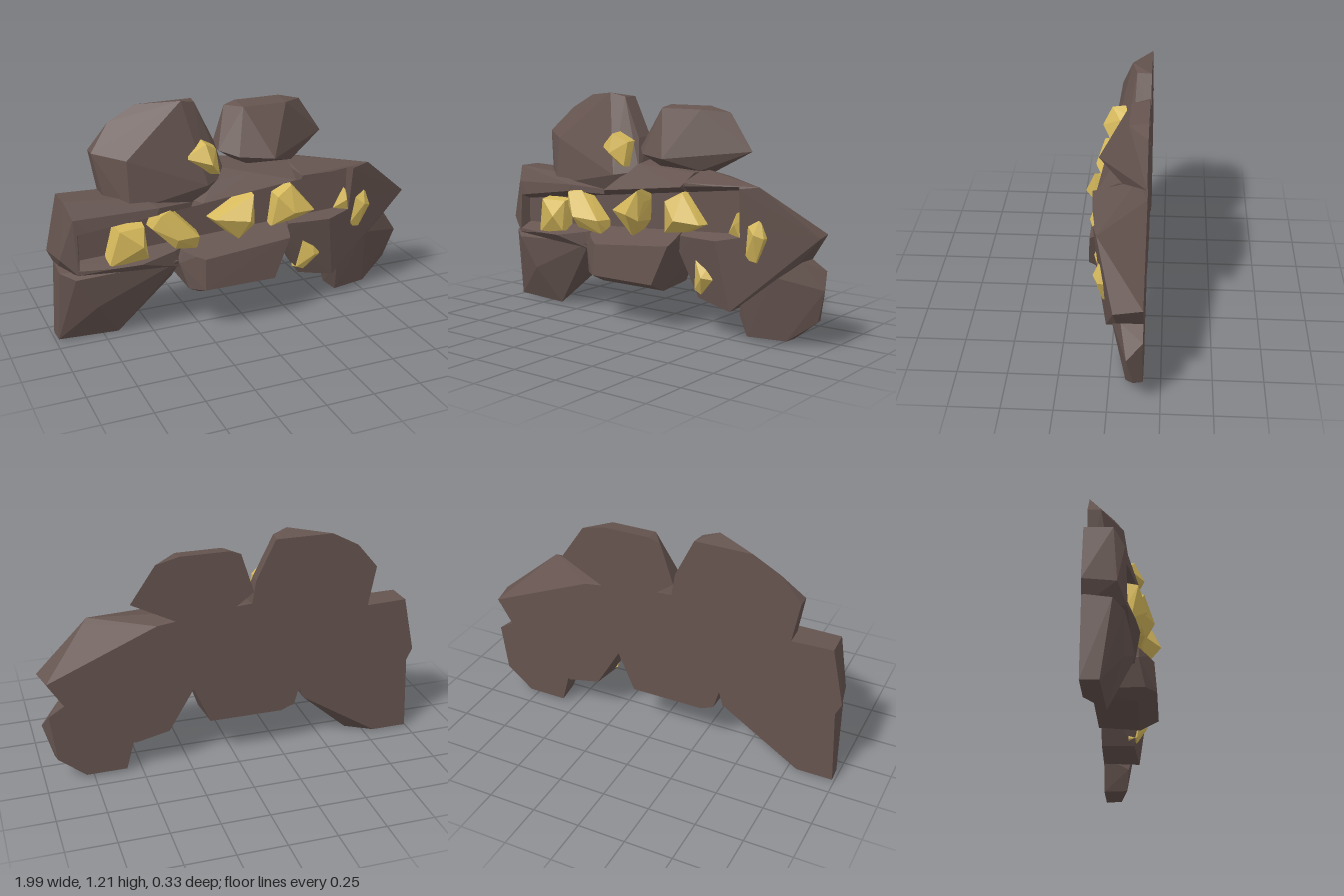
import * as THREE from 'three';
import { ConvexGeometry } from 'three/addons/geometries/ConvexGeometry.js';

const BACK = -0.165;

// Groove planes [nx, ny, nz, d]; a point is in the groove where n.p < d for all
const GROOVE = [
  [0.04, 0, -1, -0.01],       // floor
  [-0.1, 1, -0.45, 0.69],     // upper wall
  [0.088, -1, -0.6, -0.518],  // lower wall
  [-1, 0, -0.3, 0.875],       // left end
  [1, 0, -0.3, 0.585],        // right end
];

const side = (p, g) => g[0] * p.x + g[1] * p.y + g[2] * p.z - g[3];

// Cut a convex body by a plane and keep one side (1 outside, -1 inside)
function clip(points, plane, keep) {
  const kept = points.filter(p => keep * side(p, plane) >= -1e-7);
  const lost = points.filter(p => keep * side(p, plane) < -1e-7);
  const cut = [];
  for (const a of kept) for (const b of lost) {
    const da = side(a, plane), db = side(b, plane);
    if (Math.abs(da) > 1e-6) cut.push(a.clone().lerp(b, da / (da - db)));
  }
  return kept.concat(cut);
}

// Keep only the hull corners so later cuts stay small
function corners(points) {
  const pos = new ConvexGeometry(points).attributes.position;
  const found = new Map();
  for (let i = 0; i < pos.count; i++) {
    const p = new THREE.Vector3().fromBufferAttribute(pos, i);
    found.set(p.toArray().map(v => v.toFixed(4)).join(), p);
  }
  return [...found.values()];
}

function isSolid(points) {
  if (points.length < 4) return false;
  const size = new THREE.Box3().setFromPoints(points).getSize(new THREE.Vector3());
  return Math.min(size.x, size.y, size.z) > 0.004;
}

// A rock minus the groove, as touching convex pieces
function carve(points) {
  const pieces = [];
  let rest = corners(points);
  for (const plane of GROOVE) {
    const outer = clip(rest, plane, 1);
    if (isSolid(outer)) pieces.push(outer);
    rest = clip(rest, plane, -1);
    if (!isSolid(rest)) break;
    rest = corners(rest);
  }
  return pieces;
}

// Rock points: a flat outline on the back plane and raised points in front of it
function rockPoints(outline, raised) {
  return [
    ...outline.map(([x, y]) => new THREE.Vector3(x, y, BACK)),
    ...raised.map(p => new THREE.Vector3(...p)),
  ];
}

// Crystal points: base outline, a slightly smaller shoulder and a tip
function crystalPoints(tip, base, outline) {
  const peak = new THREE.Vector3(...tip);
  const points = [peak];
  outline.forEach(([x, y], i) => {
    const foot = new THREE.Vector3(x, y, base);
    const shoulder = foot.clone().lerp(peak, 0.12);
    shoulder.z = base + (peak.z - base) * (i % 2 ? 0.7 : 0.45);
    points.push(foot, shoulder);
  });
  return points;
}

export function createModel() {
  const model = new THREE.Group();
  const stone = new THREE.MeshStandardMaterial({ color: 0x65544f });
  stone.name = 'brownStone';
  const gold = new THREE.MeshStandardMaterial({ color: 0xd6b95c });
  gold.name = 'goldOre';

  const addRock = (name, pieces) => {
    const group = new THREE.Group();
    group.name = name;
    for (const piece of pieces) {
      const mesh = new THREE.Mesh(new ConvexGeometry(piece), stone);
      mesh.name = name + 'Piece';
      group.add(mesh);
    }
    model.add(group);
  };

  // Upper boulders
  addRock('upperLeftBoulder', [rockPoints(
    [[-0.76, 0.98], [-0.65, 1.11], [-0.51, 1.185], [-0.21, 1.185], [-0.11, 0.98], [-0.08, 0.8], [-0.15, 0.66], [-0.71, 0.7]],
    [[-0.3, 1.205, -0.065], [-0.22, 1.185, -0.09], [-0.76, 0.98, -0.1], [-0.71, 0.72, -0.06], [-0.61, 0.95, 0],
      [-0.61, 0.7, 0.03], [-0.2, 0.78, 0.04], [-0.12, 0.97, -0.08], [-0.08, 0.8, -0.03], [-0.2, 0.68, 0]])]);
  addRock('upperRightBoulder', [rockPoints(
    [[-0.03, 1.13], [0.03, 1.15], [0.28, 1.15], [0.4, 1.12], [0.53, 0.93], [0.3, 0.81], [0.05, 0.81], [-0.1, 0.92]],
    [[0.04, 1.135, -0.07], [0.28, 1.135, -0.07], [-0.1, 0.92, -0.07], [-0.02, 0.9, 0.02],
      [0.15, 0.89, 0.085], [0.3, 0.83, -0.04], [0.05, 0.84, -0.04]])]);

  // Rocks crossed by the groove
  addRock('leftRock', carve(rockPoints(
    [[-1, 0.48], [-0.935, 0.775], [-0.5, 0.76], [-0.25, 0.7], [-0.2, 0.55], [-0.35, 0.35], [-0.95, 0.37]],
    [[-0.97, 0.48, -0.01], [-0.93, 0.775, -0.03], [-0.9, 0.69, 0.02], [-0.89, 0.4, 0.03], [-0.55, 0.755, 0],
      [-0.47, 0.71, 0.07], [-0.25, 0.69, 0], [-0.6, 0.43, 0.08], [-0.36, 0.36, 0.04]])));
  addRock('lowerLeftRock', carve(rockPoints(
    [[-0.97, 0.42], [-0.99, 0.01], [-0.8, 0.01], [-0.62, 0.14], [-0.38, 0.28], [-0.34, 0.43]],
    [[-0.97, 0.4, -0.03], [-0.985, 0.01, -0.08], [-0.67, 0, -0.07], [-0.61, 0.18, -0.05], [-0.38, 0.28, -0.04],
      [-0.79, 0.2, 0.01], [-0.9, 0.37, 0.02], [-0.36, 0.4, 0.05]])));
  addRock('middleRock', carve(rockPoints(
    [[-0.37, 0.39], [-0.33, 0.25], [-0.26, 0.22], [0.13, 0.22], [0.23, 0.45], [0.29, 0.83], [-0.1, 0.86], [-0.35, 0.7]],
    [[-0.37, 0.39, 0.06], [-0.33, 0.25, 0.09], [-0.26, 0.205, 0.05], [0.14, 0.205, 0.05], [-0.26, 0.25, 0.145],
      [0.13, 0.25, 0.145], [0.23, 0.48, 0.13], [-0.25, 0.45, 0.13], [0.27, 0.76, 0.09], [-0.24, 0.7, 0.07],
      [0.28, 0.82, -0.02], [-0.1, 0.84, -0.04]])));
  addRock('rightRock', carve(rockPoints(
    [[0.25, 0.82], [0.4, 0.8], [0.96, 0.56], [0.88, 0.43], [0.53, 0.16], [0.35, 0.2], [0.22, 0.42]],
    [[0.28, 0.835, -0.11], [0.3, 0.785, 0.105], [0.6, 0.775, 0.085], [0.71, 0.79, 0.06], [0.99, 0.56, -0.03],
      [0.88, 0.43, -0.04], [0.53, 0.15, 0.03], [0.33, 0.19, 0.01], [0.23, 0.42, 0.04], [0.46, 0.6, 0.1]])));

  // Lower right rock
  addRock('lowerRightRock', [rockPoints(
    [[0.88, 0.43], [0.96, 0.38], [0.93, 0.13], [0.79, 0.015], [0.58, 0.015], [0.53, 0.2], [0.6, 0.4]],
    [[0.88, 0.43, -0.06], [0.99, 0.3, -0.09], [0.94, 0.13, -0.12], [0.79, 0.02, -0.08],
      [0.59, 0.02, -0.04], [0.55, 0.13, -0.03], [0.58, 0.24, 0], [0.75, 0.35, -0.01]])]);

  // Ore crystals: tip, base depth, outline
  const addOre = (...shape) => {
    const mesh = new THREE.Mesh(new ConvexGeometry(crystalPoints(...shape)), gold);
    mesh.name = 'oreCrystal';
    model.add(mesh);
  };
  addOre([-0.57, 0.53, 0.11], -0.02, [[-0.755, 0.4], [-0.695, 0.625], [-0.54, 0.62], [-0.53, 0.44]]);
  addOre([-0.4, 0.55, 0.14], -0.02, [[-0.52, 0.6], [-0.48, 0.69], [-0.41, 0.7], [-0.25, 0.53], [-0.25, 0.44], [-0.4, 0.48]]);
  addOre([-0.02, 0.6, 0.165], 0, [[-0.2, 0.6], [0.025, 0.74], [0.035, 0.67], [0.03, 0.56], [-0.05, 0.46]]);
  addOre([0.25, 0.59, 0.125], 0, [[0.135, 0.5], [0.16, 0.69], [0.26, 0.74], [0.4, 0.575], [0.28, 0.52]]);
  addOre([0.58, 0.6, 0.08], 0, [[0.515, 0.54], [0.58, 0.66], [0.605, 0.62], [0.605, 0.52]]);
  addOre([0.69, 0.56, 0.08], 0, [[0.605, 0.41], [0.64, 0.6], [0.705, 0.66], [0.74, 0.54], [0.68, 0.4]]);
  addOre([0.39, 0.31, 0.08], -0.02, [[0.305, 0.22], [0.33, 0.4], [0.415, 0.39], [0.445, 0.3], [0.35, 0.2]]);
  addOre([-0.19, 0.9, 0.085], -0.08, [[-0.325, 0.925], [-0.21, 1.01], [-0.13, 0.96], [-0.125, 0.82], [-0.2, 0.82]]);
  return model;
}
